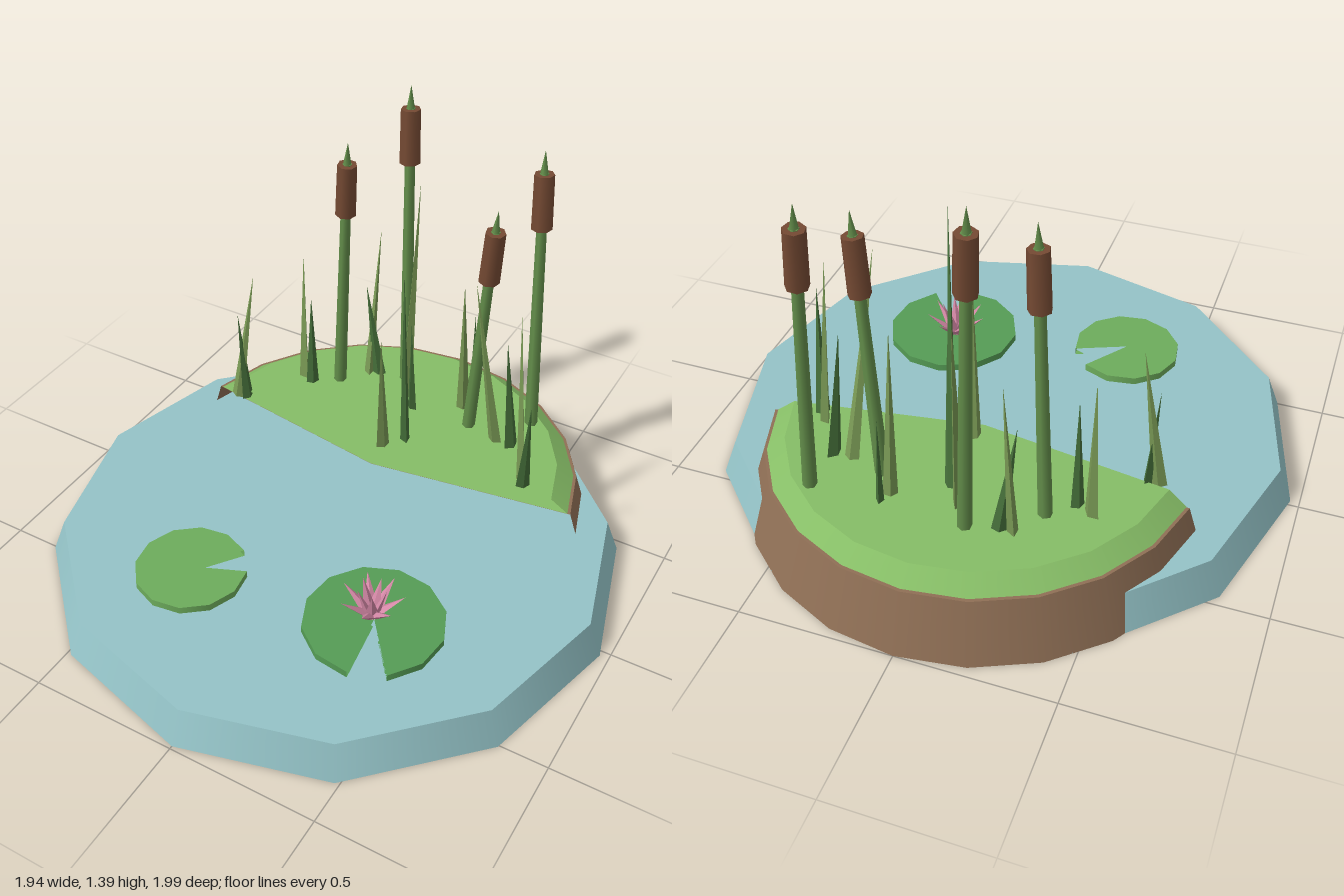
import * as THREE from 'three';

const mat = (color, flatShading = false) =>
  new THREE.MeshStandardMaterial({ color, flatShading, side: THREE.DoubleSide });

const M = {
  water: mat(0x94c3c7),
  soil: mat(0x8f6f55),
  grass: mat(0x86bd66),
  padLight: mat(0x6dac5c),
  padDark: mat(0x559c55),
  stem: mat(0x648f4b),
  bladeLight: mat(0x7a9a55, true),
  bladeDark: mat(0x46703a, true),
  head: mat(0x754a33),
  petal: mat(0xd488a6, true),
};

const UP = new THREE.Vector3(0, 1, 0);

function add(parent, name, geometry, material, x = 0, y = 0, z = 0) {
  const mesh = new THREE.Mesh(geometry, material);
  mesh.name = name;
  mesh.position.set(x, y, z);
  parent.add(mesh);
  return mesh;
}

// Tapered rod between two points
function rod(parent, name, a, b, rTop, rBottom, sides, material) {
  const dir = b.clone().sub(a);
  const geometry = rTop > 0
    ? new THREE.CylinderGeometry(rTop, rBottom, dir.length(), sides)
    : new THREE.ConeGeometry(rBottom, dir.length(), sides);
  const mesh = add(parent, name, geometry, material);
  mesh.position.copy(a).lerp(b, 0.5);
  mesh.quaternion.setFromUnitVectors(UP, dir.normalize());
  return mesh;
}

function cattail(parent, base, tip) {
  const g = new THREE.Group();
  g.name = 'cattail';
  const a = new THREE.Vector3(...base), b = new THREE.Vector3(...tip);
  const len = a.distanceTo(b);
  const at = (fromTip) => b.clone().lerp(a, fromTip / len);
  rod(g, 'stem', a, at(0.08), 0.016, 0.023, 6, M.stem);
  rod(g, 'seedHead', at(0.275), at(0.082), 0.034, 0.036, 7, M.head);
  rod(g, 'stemTip', at(0.085), b, 0, 0.015, 5, M.stem);
  parent.add(g);
}

// Disc with a wedge cut out
function lilyPad(parent, x, z, r, notchEnd, material) {
  const geometry = new THREE.CylinderGeometry(r, r, 0.025, 11, 1, false, notchEnd, 5.75);
  add(parent, 'lilyPad', geometry, material, x, 0.1325, z);
}

function waterLily(parent, x, y, z) {
  const g = new THREE.Group();
  g.name = 'waterLily';
  g.position.set(x, y, z);
  // count, tilt from upright, petal length, turn
  for (const [count, tilt, len, turn] of [[7, 0.85, 0.125, 0.2], [5, 0.32, 0.125, 0.5]]) {
    for (let i = 0; i < count; i++) {
      const geometry = new THREE.ConeGeometry(0.026, len, 4);
      geometry.scale(1, 1, 0.55);
      geometry.translate(0, len / 2, 0);
      geometry.rotateX(tilt);
      geometry.translate(0, 0, 0.01);
      geometry.rotateY(turn + (i / count) * Math.PI * 2);
      add(g, 'petal', geometry, M.petal);
    }
  }
  parent.add(g);
}

export function createModel() {
  const model = new THREE.Group();
  model.name = 'pond';

  add(model, 'water', new THREE.CylinderGeometry(0.925, 0.97, 0.12, 12), M.water, 0, 0.06, 0.02);

  // Bank: two wedge-shaped layers, open towards the water
  const start = Math.PI / 2 + 0.15, sweep = Math.PI - 0.3;
  add(model, 'bankSoil',
    new THREE.CylinderGeometry(0.71, 0.775, 0.2, 10, 1, false, start, sweep), M.soil, 0, 0.1, -0.225);
  add(model, 'bankGrass',
    new THREE.CylinderGeometry(0.64, 0.7, 0.045, 10, 1, false, start, sweep), M.grass, 0, 0.2235, -0.225);

  lilyPad(model, -0.29, 0.46, 0.185, 2.51, M.padLight);
  lilyPad(model, 0.338, 0.362, 0.23, 0.67, M.padDark);
  waterLily(model, 0.32, 0.145, 0.345);

  // Cattails: base, tip
  cattail(model, [-0.1, 0.23, -0.67], [-0.147, 1.39, -0.725]);
  cattail(model, [-0.31, 0.23, -0.545], [-0.264, 1.245, -0.515]);
  cattail(model, [0.22, 0.23, -0.54], [0.288, 1.16, -0.5]);
  cattail(model, [0.41, 0.23, -0.66], [0.343, 1.29, -0.71]);

  // Reed blades: base x, base z, tip x, tip y, tip z, base radius
  const blades = [
    [-0.595, -0.29, -0.53, 0.75, -0.325, 0.025],
    [-0.56, -0.3, -0.58, 0.59, -0.29, 0.024],
    [-0.44, -0.5, -0.445, 0.76, -0.52, 0.03],
    [-0.39, -0.48, -0.38, 0.63, -0.46, 0.024],
    [-0.24, -0.64, -0.232, 0.83, -0.7, 0.03],
    [-0.2, -0.65, -0.25, 0.63, -0.63, 0.026],
    [-0.05, -0.58, -0.1, 1.04, -0.73, 0.036],
    [0.0, -0.53, 0.05, 0.7, -0.4, 0.022],
    [0.01, -0.29, 0.06, 0.79, -0.165, 0.025],
    [0.06, -0.36, 0.12, 1.05, -0.195, 0.028],
    [0.16, -0.62, 0.168, 0.81, -0.55, 0.024],
    [0.18, -0.65, 0.15, 0.6, -0.7, 0.022],
    [0.34, -0.51, 0.285, 0.96, -0.375, 0.026],
    [0.4, -0.51, 0.37, 0.7, -0.47, 0.03],
    [0.5, -0.37, 0.442, 0.9, -0.385, 0.028],
    [0.52, -0.34, 0.563, 0.67, -0.23, 0.025],
  ];
  blades.forEach(([bx, bz, tx, ty, tz, r], i) => {
    const blade = rod(model, 'reedBlade', new THREE.Vector3(bx, 0.23, bz),
      new THREE.Vector3(tx, ty, tz), 0, r, 4, i % 2 ? M.bladeDark : M.bladeLight);
    blade.rotateY(i * 1.3);
    blade.scale.z = 0.6;
  });

  return model;
}
